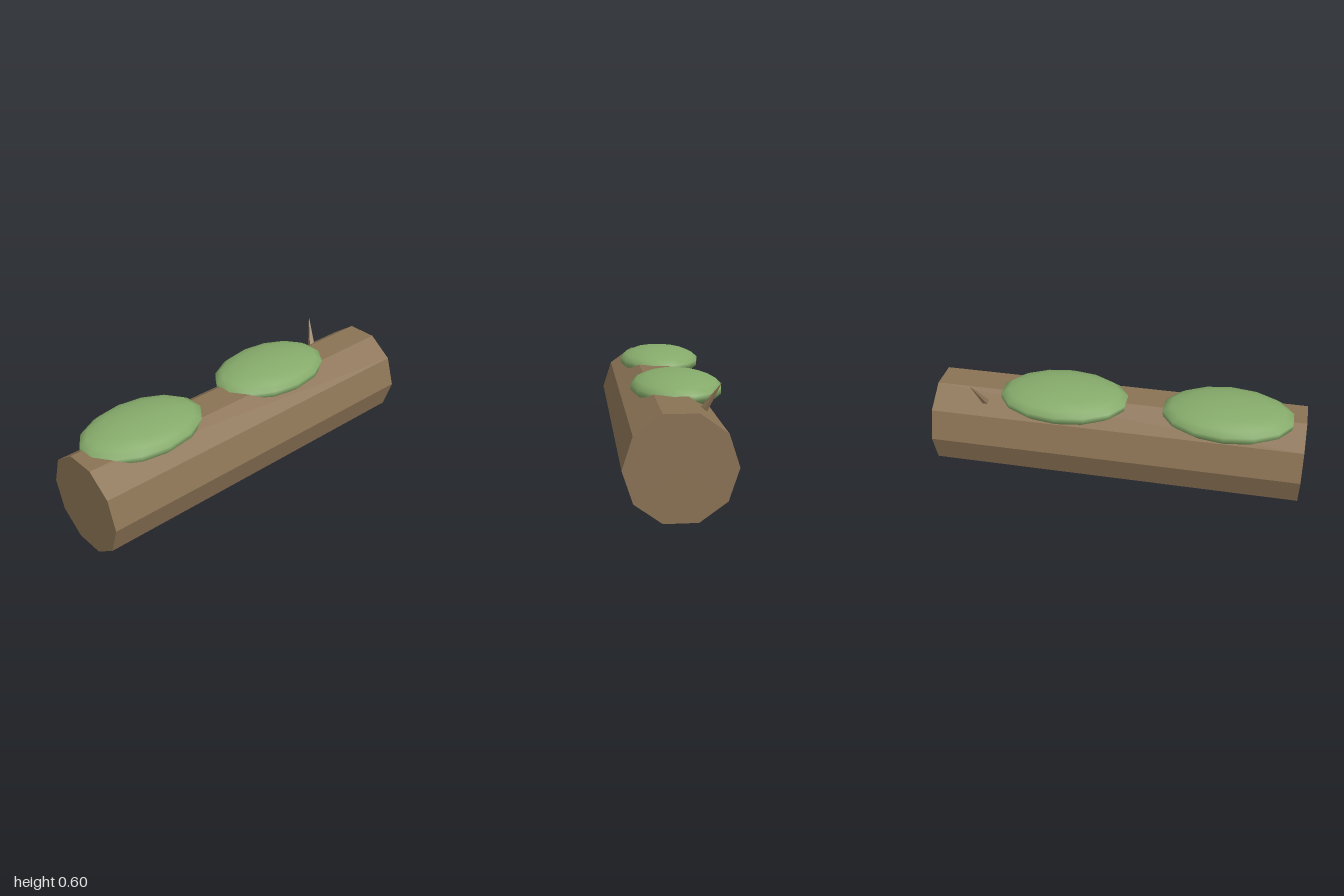
import * as THREE from 'three';

const bark = new THREE.MeshStandardMaterial({ color: 0x8b7355, flatShading: true });
const green = new THREE.MeshStandardMaterial({ color: 0x86ab6b });

function addMesh(group, name, geometry, material) {
  const mesh = new THREE.Mesh(geometry, material);
  mesh.name = name;
  group.add(mesh);
  return mesh;
}

export function createModel() {
  const group = new THREE.Group();
  group.name = 'mossyLog';

  // Ten-sided log lying along x
  const log = addMesh(group, 'log', new THREE.CylinderGeometry(0.265, 0.265, 2, 10), bark);
  log.rotation.z = Math.PI / 2;
  log.position.set(0, 0.252, 0.014);

  // Flattened moss cushions, with a vertex of each ring towards the front
  const mossGeometry = new THREE.SphereGeometry(1, 14, 9);
  mossGeometry.rotateY(Math.PI / 2);
  mossGeometry.scale(0.354, 0.081, 0.237);
  [['mossRight', -0.591], ['mossLeft', 0.291]].forEach(([name, x]) => {
    addMesh(group, name, mossGeometry, green).position.set(x, 0.49, -0.0455);
  });

  // Small pointed twig, its base sunk into the bark
  const tip = new THREE.Vector3(0.763, 0.597, -0.205);
  const base = new THREE.Vector3(0.707, 0.435, -0.114);
  const axis = tip.clone().sub(base);
  const twig = addMesh(group, 'twig', new THREE.ConeGeometry(0.024, axis.length(), 5), bark);
  twig.position.copy(base).add(tip).multiplyScalar(0.5);
  twig.quaternion.setFromUnitVectors(new THREE.Vector3(0, 1, 0), axis.normalize());

  return group;
}
